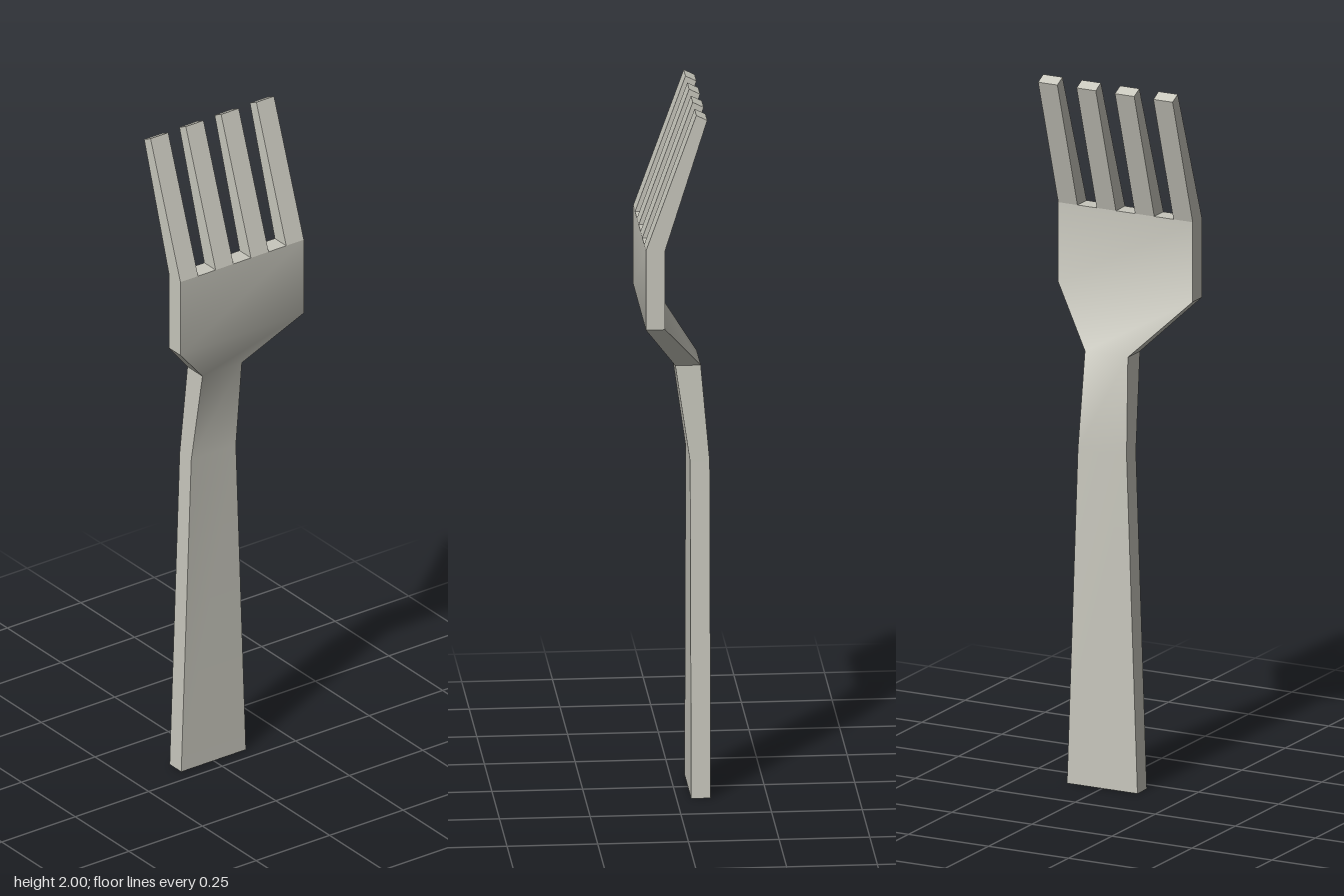
import * as THREE from 'three';
import { mergeGeometries } from 'three/addons/utils/BufferGeometryUtils.js';

// Ribbon of quads between two rows of points, smooth along its length
function strip(left, right) {
  const pos = [], index = [];
  left.forEach((p, i) => {
    pos.push(...p, ...right[i]);
    if (i > 0) {
      const a = 2 * i - 2;
      index.push(a, a + 1, a + 3, a, a + 3, a + 2);
    }
  });
  const g = new THREE.BufferGeometry();
  g.setAttribute('position', new THREE.Float32BufferAttribute(pos, 3));
  g.setIndex(index);
  g.computeVertexNormals();
  return g;
}

// Bent bar from sections [half width, front y, front z, back y, back z]:
// smooth front and back faces, sharp flat edges and end caps
function bentBar(sections) {
  const row = (side, o) => sections.map((s) => [side * s[0], s[o], s[o + 1]]);
  const FL = row(-1, 1), FR = row(1, 1), BL = row(-1, 3), BR = row(1, 3);
  const n = sections.length - 1;
  const parts = [
    strip(FL, FR),
    strip(BR, BL),
    strip([FL[n], BL[n]], [FR[n], BR[n]]),
    strip([BL[0], FL[0]], [BR[0], FR[0]]),
  ];
  for (let i = 0; i < n; i++) {
    parts.push(strip(FR.slice(i, i + 2), BR.slice(i, i + 2)));
    parts.push(strip(BL.slice(i, i + 2), FL.slice(i, i + 2)));
  }
  return mergeGeometries(parts);
}

export function createModel() {
  const group = new THREE.Group();
  group.name = 'fork';
  const metal = new THREE.MeshStandardMaterial({ color: 0xc8c7bd });
  metal.name = 'pale metal';

  // Handle, neck and palm in one piece
  const body = new THREE.Mesh(bentBar([
    [0.11, 0, -0.04, 0, -0.094],
    [0.076, 0.96, -0.04, 0.96, -0.094],
    [0.067, 1.235, 0, 1.235, -0.07],
    [0.21, 1.385, 0.093, 1.385, 0.04],
    [0.21, 1.613, 0.093, 1.613, 0.04],
  ]), metal);
  body.name = 'handleAndPalm';
  group.add(body);

  // Four tines leaning back
  const tine = bentBar([
    [0.03, 1.613, 0.093, 1.613, 0.04],
    [0.03, 2, -0.046, 1.985, -0.076],
  ]);
  [-0.18, -0.06, 0.06, 0.18].forEach((x, i) => {
    const mesh = new THREE.Mesh(tine, metal);
    mesh.name = `tine${i + 1}`;
    mesh.position.x = x;
    group.add(mesh);
  });

  return group;
}
